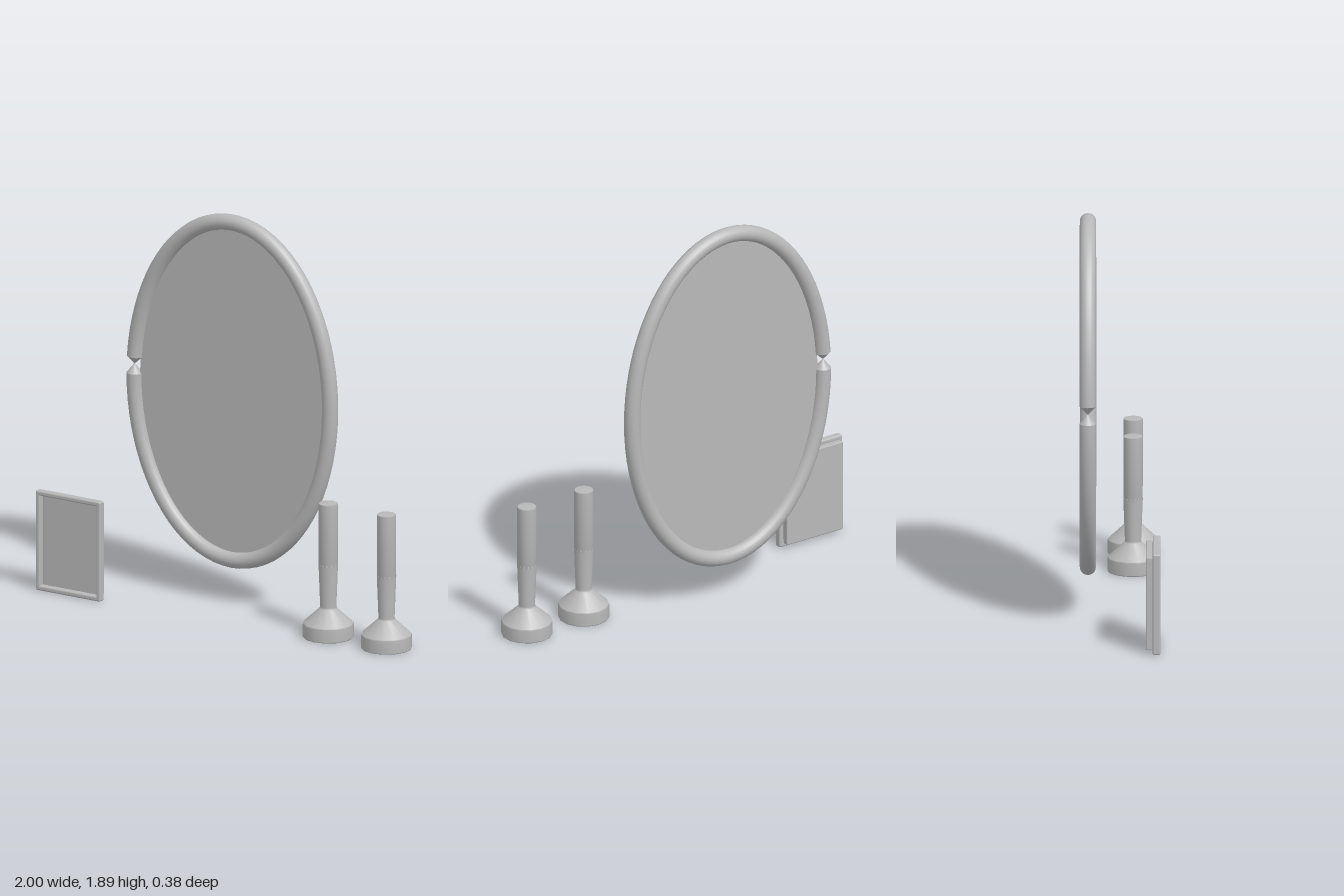
import * as THREE from 'three';
import { ParametricGeometry } from 'three/addons/geometries/ParametricGeometry.js';
import { RoundedBoxGeometry } from 'three/addons/geometries/RoundedBoxGeometry.js';

const RX = 0.547, RY = 0.822, TUBE = 0.038;

// Stretch of round tube along the mirror's ellipse; the radius runs from r0 to r1
function ellipseTube(a0, a1, steps, r0 = TUBE, r1 = TUBE) {
  return new ParametricGeometry((u, v, p) => {
    const a = a0 + (a1 - a0) * u;
    const r = r0 + (r1 - r0) * u;
    const w = v * Math.PI * 2;
    const n = new THREE.Vector2(Math.cos(a) / RX, Math.sin(a) / RY).normalize();
    p.set(RX * Math.cos(a) + r * Math.cos(w) * n.x,
      RY * Math.sin(a) + r * Math.cos(w) * n.y, r * Math.sin(w));
  }, steps, 20);
}

export function createModel() {
  const model = new THREE.Group();
  const grey = new THREE.MeshStandardMaterial({ color: 0xb8b8b8 });
  grey.name = 'plain grey';
  grey.side = THREE.DoubleSide;

  function add(parent, name, geometry, x = 0, y = 0, z = 0) {
    const mesh = new THREE.Mesh(geometry, grey);
    mesh.name = name;
    mesh.position.set(x, y, z);
    parent.add(mesh);
    return mesh;
  }

  function group(name, x, y, z) {
    const g = new THREE.Group();
    g.name = name;
    g.position.set(x, y, z);
    model.add(g);
    return g;
  }

  // Oval mirror: two half rings, pinched to a point at one side
  const mirror = group('mirror', -0.122, 1.03, -0.152);
  const PI = Math.PI, gap = 0.1, mid = PI - gap * 0.55;
  add(mirror, 'upperRim', ellipseTube(0, PI - gap, 40));
  add(mirror, 'lowerRim', ellipseTube(PI, PI * 2, 40));
  add(mirror, 'rimPinchTop', ellipseTube(PI - gap, mid, 1, TUBE, 0.002));
  add(mirror, 'rimPinchBottom', ellipseTube(mid, PI, 1, 0.002, TUBE));
  const glass = add(mirror, 'mirrorGlass', new THREE.CircleGeometry(1, 64));
  glass.scale.set(0.516, 0.791, 1);

  // Small picture frame: rounded border bars around a thick backing board
  const picture = group('pictureFrame', -0.819, 0.243, 0.17);
  const W = 0.362, H = 0.486, bar = 0.024, depth = 0.036;
  for (const s of [-1, 1]) {
    add(picture, 'sideBar', new RoundedBoxGeometry(bar, H, depth, 3, 0.008), s * (W - bar) / 2, 0, 0);
    add(picture, 'crossBar', new RoundedBoxGeometry(W, bar, depth, 3, 0.008), 0, s * (H - bar) / 2, 0);
  }
  add(picture, 'backingBoard', new RoundedBoxGeometry(0.322, 0.448, 0.034, 2, 0.005), 0, 0, -0.032);

  // Two candlesticks with their candles
  const lathe = (points, sides) =>
    new THREE.LatheGeometry(points.map(([r, y]) => new THREE.Vector2(r, y)), sides);
  const holder = lathe([
    [0, 0], [0.119, 0], [0.12, 0.004], [0.12, 0.063], [0.117, 0.069],
    [0.042, 0.138], [0.038, 0.148], [0.0455, 0.345], [0.0455, 0.355], [0, 0.355],
  ], 14);
  const candle = lathe([[0, 0.345], [0.0453, 0.345], [0.0453, 0.645], [0.042, 0.65], [0, 0.65]], 24);
  for (const x of [0.553, 0.879]) {
    const stick = group('candlestick', x, 0, 0.057);
    add(stick, 'candleHolder', holder);
    add(stick, 'candle', candle);
  }
  return model;
}
